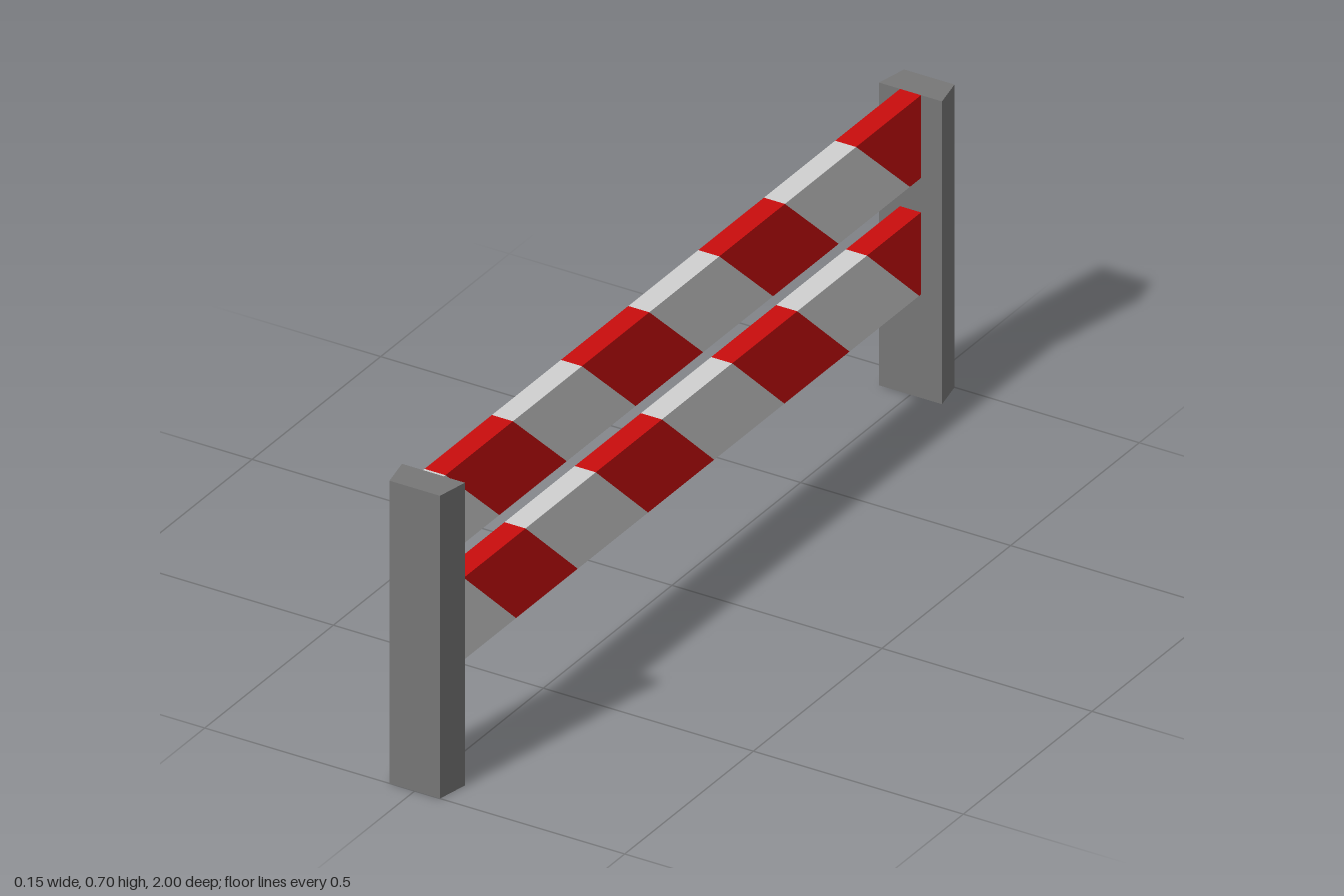
import * as THREE from 'three';

const HEIGHT = 0.705;
const INNER = 0.927;   // inner face of the posts, where the rails end
const HALF_X = 0.025;  // half the rail thickness

const mat = (name, color) => {
  const m = new THREE.MeshStandardMaterial({ color });
  m.name = name;
  return m;
};

// Cuts a (z, y) polygon so that sign * z <= limit
function clip(points, sign, limit) {
  const out = [];
  points.forEach((p, i) => {
    const q = points[(i + 1) % points.length];
    const dp = limit - sign * p[0], dq = limit - sign * q[0];
    if (dp >= 0) out.push(p);
    if (dp * dq < 0) {
      const t = dp / (dp - dq);
      out.push([p[0] + (q[0] - p[0]) * t, p[1] + (q[1] - p[1]) * t]);
    }
  });
  return out;
}

// One slanted band: both side faces plus its outer edge strips (no internal walls)
function addBand(verts, zHigh, zLow, y0, y1, shift) {
  let poly = [[zLow - shift, y0], [zHigh - shift, y0], [zHigh, y1], [zLow, y1]];
  poly = clip(clip(poly, 1, INNER), -1, INNER);
  const put = (x, p) => verts.push(x, p[1], p[0]);
  for (let i = 1; i < poly.length - 1; i++) {
    [poly[0], poly[i], poly[i + 1]].forEach(p => put(-HALF_X, p));
    [poly[0], poly[i + 1], poly[i]].forEach(p => put(HALF_X, p));
  }
  poly.forEach((p, i) => {
    const q = poly[(i + 1) % poly.length];
    const level = Math.abs(p[1] - q[1]) < 1e-6;
    const atEnd = Math.abs(p[0] - q[0]) < 1e-6;
    if (!level && !atEnd) return;
    put(-HALF_X, q); put(-HALF_X, p); put(HALF_X, p);
    put(-HALF_X, q); put(HALF_X, p); put(HALF_X, q);
  });
}

// A rail of alternating bands; edges are the stripe borders along its top
function makeRail(name, y0, y1, edges, shift, red, white) {
  const rail = new THREE.Group();
  rail.name = name;
  const borders = [1.4, ...edges, -1.4];
  const sets = [[], []];
  for (let i = 0; i < borders.length - 1; i++) {
    addBand(sets[i % 2], borders[i], borders[i + 1], y0, y1, shift);
  }
  sets.forEach((verts, i) => {
    const geo = new THREE.BufferGeometry();
    geo.setAttribute('position', new THREE.Float32BufferAttribute(verts, 3));
    geo.computeVertexNormals();
    const mesh = new THREE.Mesh(geo, i ? red : white);
    mesh.name = name + (i ? 'RedStripes' : 'WhiteStripes');
    rail.add(mesh);
  });
  return rail;
}

export function createModel() {
  const model = new THREE.Group();
  model.name = 'barrier';
  const grey = mat('post grey', 0x777777);
  const red = mat('stripe red', 0xca0d0d);
  const white = mat('stripe white', 0xd0d0d0);

  // Posts: upright prisms, wider on the inner side
  const section = new THREE.Shape([
    new THREE.Vector2(-0.075, -INNER), new THREE.Vector2(0.075, -INNER),
    new THREE.Vector2(0.06, -1), new THREE.Vector2(-0.06, -1),
  ]);
  const postGeo = new THREE.ExtrudeGeometry(section, { depth: HEIGHT, bevelEnabled: false });
  postGeo.rotateX(-Math.PI / 2);
  ['frontPost', 'backPost'].forEach((name, i) => {
    const post = new THREE.Mesh(postGeo, grey);
    post.name = name;
    post.rotation.y = i * Math.PI;
    model.add(post);
  });

  // Striped rails
  model.add(makeRail('upperRail', 0.512, HEIGHT,
    [0.921, 0.659, 0.391, 0.129, -0.143, -0.398, -0.675], 0.209, red, white));
  model.add(makeRail('lowerRail', 0.241, 0.432,
    [0.85, 0.61, 0.337, 0.08, -0.193, -0.446, -0.717], 0.203, red, white));
  return model;
}
